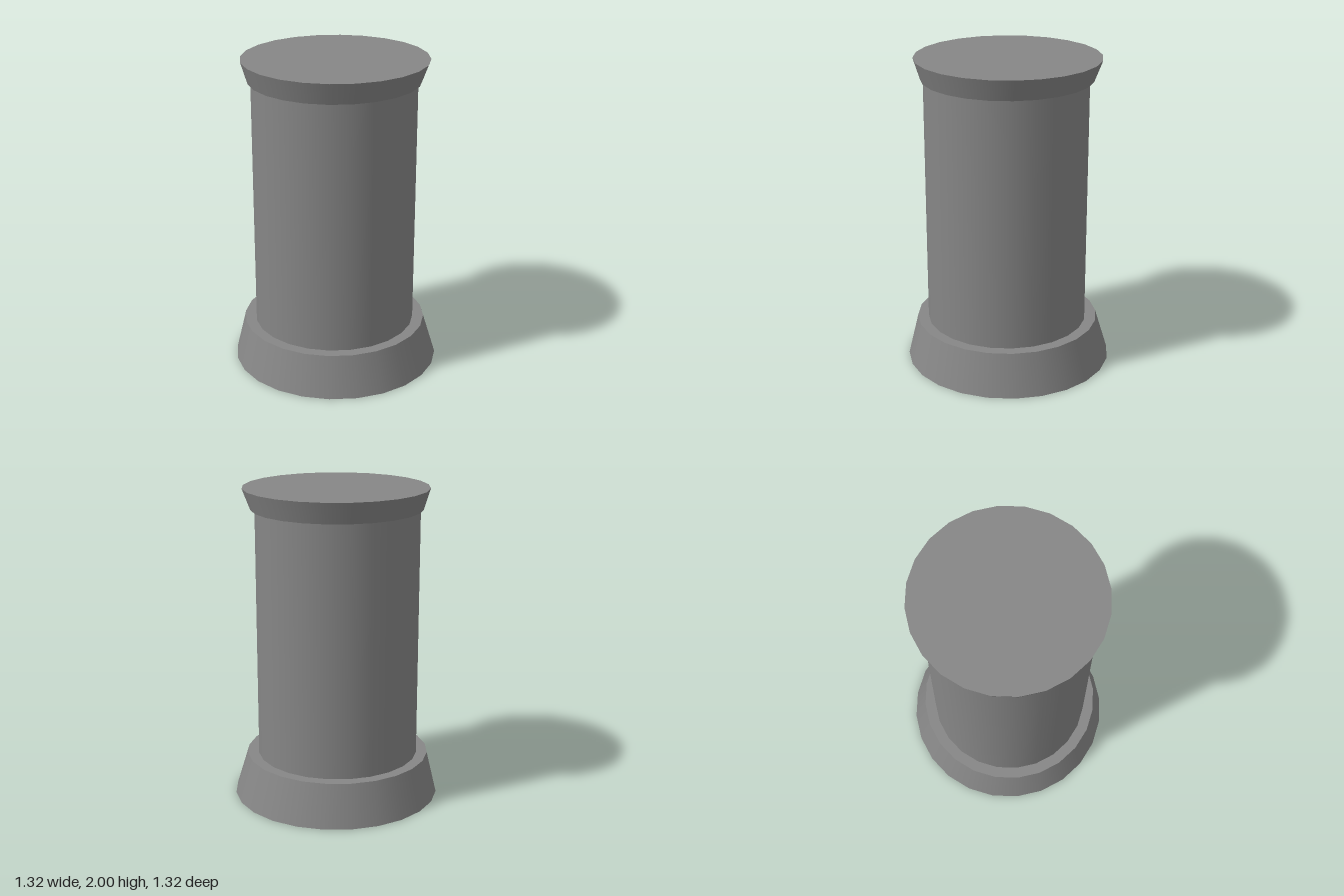
import * as THREE from 'three';

const SIDES = 24;

export function createModel() {
  const model = new THREE.Group();
  const material = new THREE.MeshStandardMaterial({ color: 0x868686 });

  // A capped tapered drum; each end has its own radius and x offset
  function drum(name, y0, y1, r0, r1, x0, x1) {
    const geometry = new THREE.CylinderGeometry(r1, r0, y1 - y0, SIDES);
    geometry.translate(0, (y0 + y1) / 2, 0);
    const pos = geometry.attributes.position;
    for (let i = 0; i < pos.count; i++) {
      const t = (pos.getY(i) - y0) / (y1 - y0);
      pos.setX(i, pos.getX(i) + x0 + (x1 - x0) * t);
    }
    const mesh = new THREE.Mesh(geometry, material);
    mesh.name = name;
    model.add(mesh);
  }

  // Flared foot, slightly leaning
  drum('base', 0, 0.268, 0.66, 0.587, 0, -0.012);
  // Straight column, its ends sunk into the base and cap
  drum('shaft', 0.2, 1.9, 0.516, 0.516, -0.013, -0.013);
  // Cap widening upward
  drum('cap', 1.866, 2, 0.537, 0.583, -0.008, -0.002);

  return model;
}
